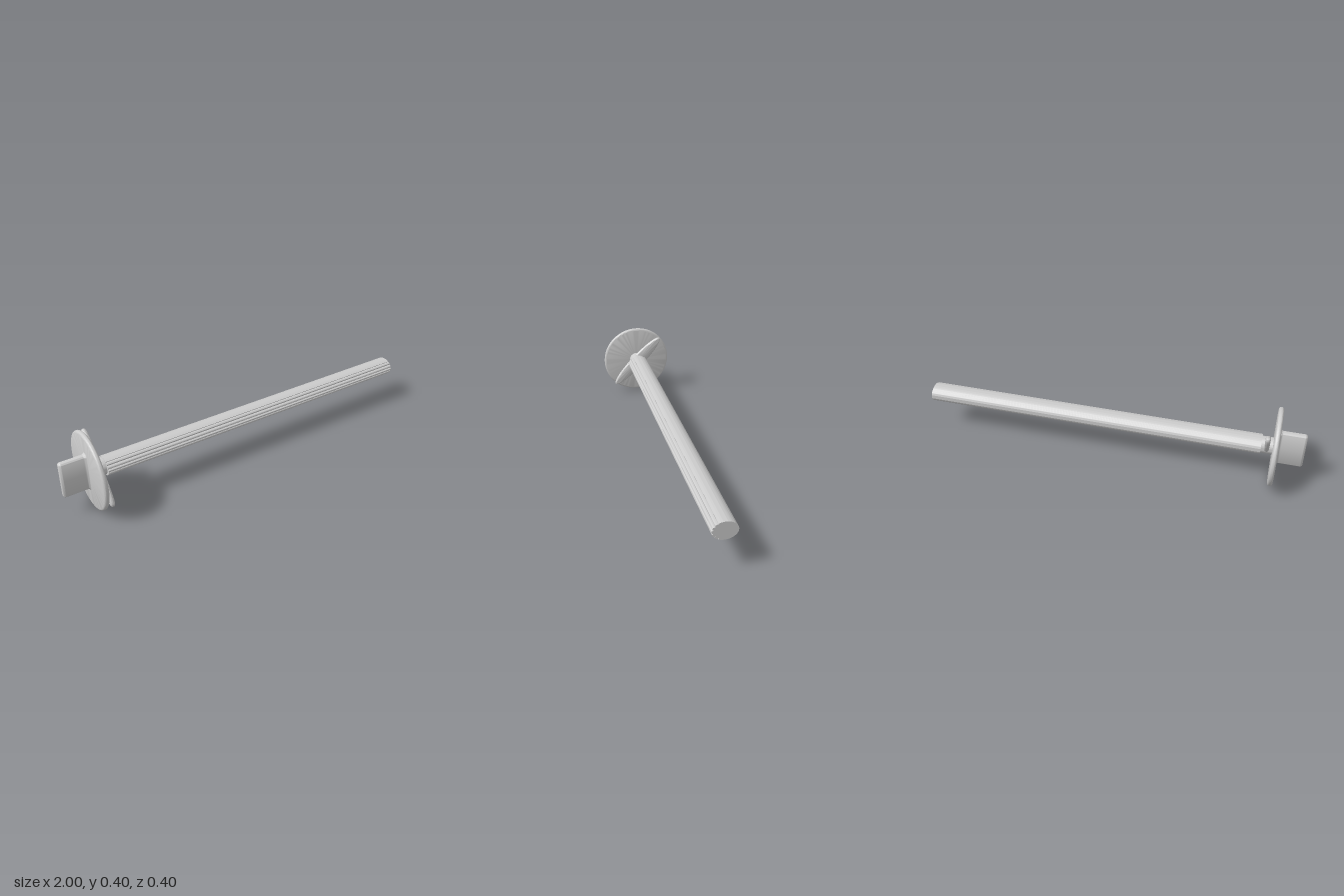
import * as THREE from 'three';
import { toCreasedNormals } from 'three/addons/utils/BufferGeometryUtils.js';

const CY = 0.203; // height of the long axis

// Joins [x, outline] sections along x and caps both ends; outline(t) gives [z, y].
function loft(sections, sides) {
  const pos = [], index = [];
  for (const [x, outline] of sections) {
    for (let j = 0; j < sides; j++) {
      const [z, y] = outline((j / sides) * Math.PI * 2);
      pos.push(x, y, z);
    }
  }
  const last = sections.length - 1;
  const first = pos.length / 3;
  pos.push(sections[0][0], 0, 0, sections[last][0], 0, 0);
  for (let j = 0; j < sides; j++) {
    const k = (j + 1) % sides;
    for (let i = 0; i < last; i++) {
      const a = i * sides + j, b = i * sides + k;
      index.push(a, a + sides, b, b, a + sides, b + sides);
    }
    index.push(first, j, k, first + 1, last * sides + k, last * sides + j);
  }
  const g = new THREE.BufferGeometry();
  g.setAttribute('position', new THREE.Float32BufferAttribute(pos, 3));
  g.setIndex(index);
  return toCreasedNormals(g, 0.6);
}

const ellipse = (a, b) => t => [a * Math.cos(t), b * Math.sin(t)];

// Upright rounded rectangle: half thickness hz, half height hy, corner radius r
const roundedRect = (hz, hy, r) => t => {
  const c = Math.cos(t), s = Math.sin(t);
  const sz = Math.abs(c) < 1e-6 ? 0 : Math.sign(c), sy = Math.abs(s) < 1e-6 ? 0 : Math.sign(s);
  return [sz * (hz - r) + r * c, sy * (hy - r) + r * s];
};

// Elliptical plate with a fully rounded rim
function plate(x0, x1, a, b, sides) {
  const r = (x1 - x0) / 2, sections = [];
  for (let i = 0; i <= 10; i++) {
    const u = (i / 10) * Math.PI;
    const inset = r * (1 - Math.sin(u));
    sections.push([(x0 + x1) / 2 - r * Math.cos(u), ellipse(a - inset, b - inset)]);
  }
  return loft(sections, sides);
}

// Oval shaft outline with five rounded ribs along the front
function ribbed(t) {
  const a = t > Math.PI ? t - 2 * Math.PI : t;
  const limit = Math.PI / 3;
  let k = 1;
  if (Math.abs(a) < limit) {
    k -= 0.13 * (1 - Math.abs(Math.cos((a / limit) * 2.5 * Math.PI))) ** 1.5;
  }
  return [0.002 + 0.059 * k * Math.cos(t), 0.0445 * k * Math.sin(t)];
}

export function createModel() {
  const group = new THREE.Group();
  const material = new THREE.MeshStandardMaterial({ color: 0xcccccc });
  const add = (name, geometry) => {
    const mesh = new THREE.Mesh(geometry, material);
    mesh.name = name;
    mesh.position.y = CY;
    group.add(mesh);
    return mesh;
  };

  add('shaft', loft([[-0.785, ribbed], [1, ribbed]], 240));
  add('neck', loft([[-0.85, ellipse(0.043, 0.043)], [-0.78, ellipse(0.043, 0.043)]], 48));
  add('flangeDisc', plate(-0.868, -0.842, 0.2, 0.2, 96));

  // Narrow oval vane set diagonally across the axis
  add('lockingVane', plate(-0.825, -0.801, 0.2, 0.038, 96)).rotation.x = Math.PI / 4;

  // Flat grip with a rounded outer end and a fillet into the disc
  const grip = [];
  const edge = 0.012, fillet = 0.016;
  for (let i = 0; i <= 6; i++) {
    const u = (i / 6) * Math.PI / 2;
    const inset = edge * (1 - Math.sin(u));
    grip.push([-1 + edge * (1 - Math.cos(u)), roundedRect(0.018 - inset, 0.098 - inset, 0.017 - inset)]);
  }
  for (let i = 0; i <= 6; i++) {
    const u = (i / 6) * Math.PI / 2;
    const out = fillet * (1 - Math.cos(u));
    grip.push([-0.866 - fillet * (1 - Math.sin(u)), roundedRect(0.018 + out, 0.098 + out, 0.017 + out)]);
  }
  add('grip', loft(grip, 64));

  return group;
}
